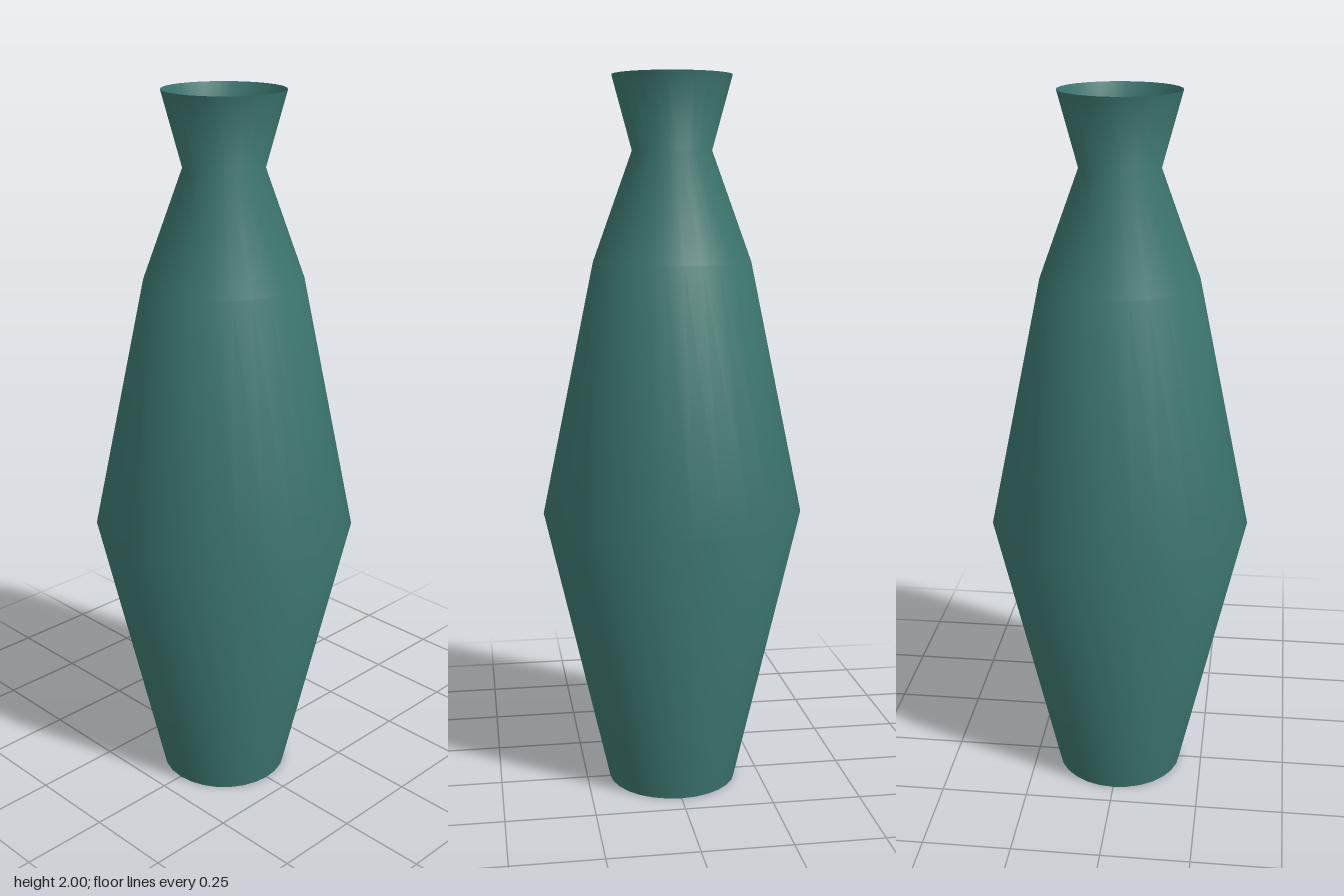
import * as THREE from 'three';

export function createModel() {
  const group = new THREE.Group();
  group.name = 'vase';

  const glaze = new THREE.MeshStandardMaterial({ color: 0x3d7870, side: THREE.DoubleSide });
  glaze.name = 'teal glaze';

  const segments = 28;
  // radius, height: foot, belly, shoulder, neck, lip
  const profile = [
    [0.1825, 0], [0.365, 0.8], [0.219, 1.5], [0.1095, 1.8], [0.164, 2],
  ].map(([r, y]) => new THREE.Vector2(r, y));

  // Thin open wall, smooth shaded
  const body = new THREE.Mesh(new THREE.LatheGeometry(profile, segments), glaze);
  body.name = 'body';
  group.add(body);

  // Flat floor closing the foot, facing down
  const base = new THREE.Mesh(new THREE.CircleGeometry(profile[0].x, segments), glaze);
  base.name = 'base';
  base.rotation.x = Math.PI / 2;
  group.add(base);

  return group;
}
